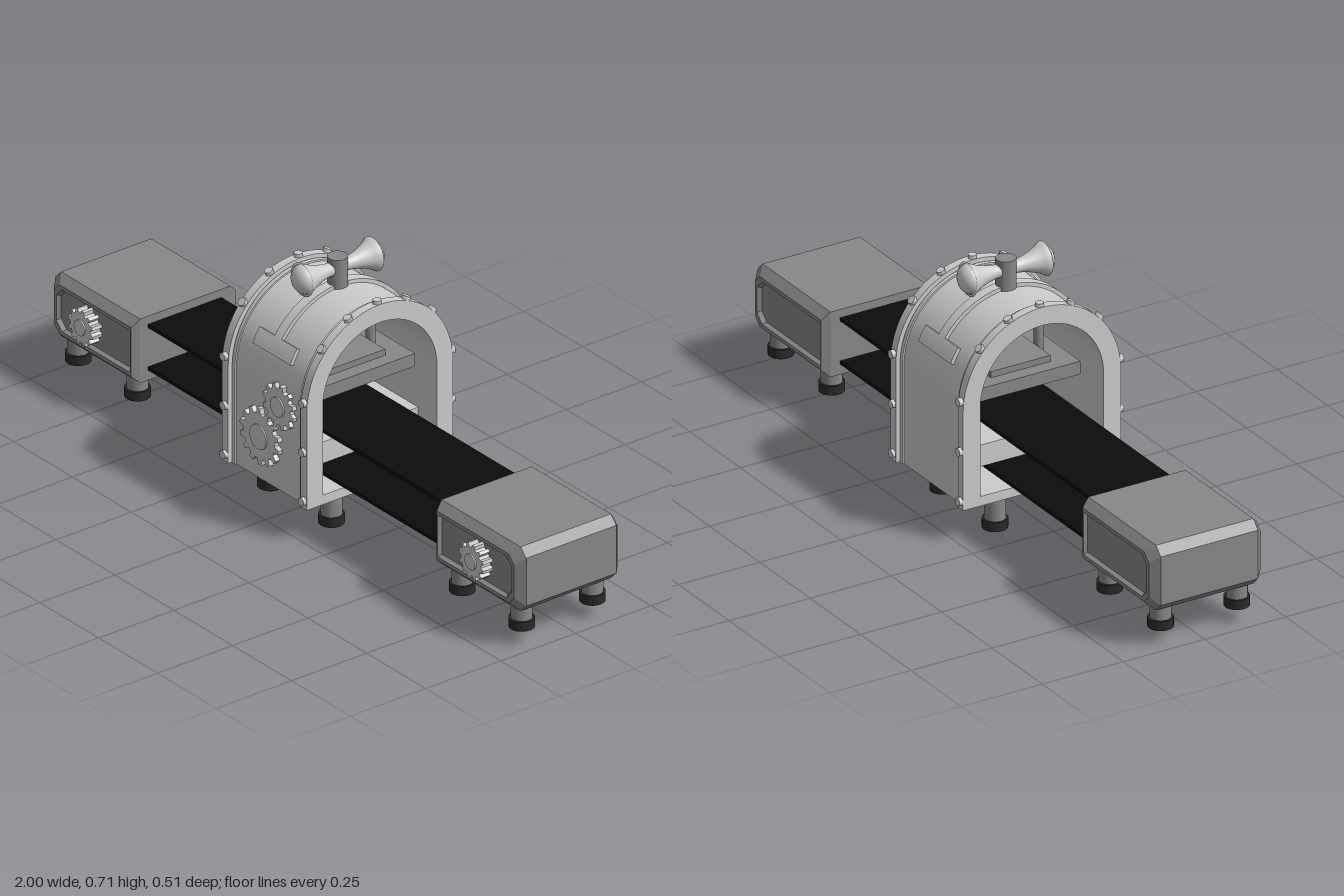
import * as THREE from 'three';
import { toCreasedNormals } from 'three/addons/utils/BufferGeometryUtils.js';

const light = new THREE.MeshStandardMaterial({ color: 0xcccccc });
const grey = new THREE.MeshStandardMaterial({ color: 0x888888 });
const black = new THREE.MeshStandardMaterial({ color: 0x0c0c0c });
const rubber = new THREE.MeshStandardMaterial({ color: 0x2a2a2a });
const CX = -0.01, SPRING = 0.385; // arch centre in x, height where its curve starts

function add(parent, name, geometry, material, x = 0, y = 0, z = 0) {
  const mesh = new THREE.Mesh(geometry, material);
  mesh.name = name;
  mesh.position.set(x, y, z);
  parent.add(mesh);
  return mesh;
}

const box = (w, h, d) => new THREE.BoxGeometry(w, h, d);
const cyl = (r, h, n = 24) => new THREE.CylinderGeometry(r, r, h, n);

function extrude(shape, depth) {
  const g = new THREE.ExtrudeGeometry(shape, { depth, bevelEnabled: false, curveSegments: 28 });
  return toCreasedNormals(g, 0.5);
}

// Outline with upright sides, round top and flat base
function archPath(Type, r, base) {
  const p = new Type();
  p.moveTo(-r, base);
  p.lineTo(r, base);
  p.lineTo(r, SPRING);
  p.absarc(0, SPRING, r, 0, Math.PI, false);
  p.closePath();
  return p;
}

function archSection(parent, name, r, x0, x1) {
  const shape = archPath(THREE.Shape, r, 0.097);
  shape.holes.push(archPath(THREE.Path, 0.19, 0.125));
  add(parent, name, extrude(shape, x1 - x0), light, x0).rotation.y = Math.PI / 2;
}

// Curved band lying on the arch between two angles
function strap(parent, name, a0, a1, width) {
  const shape = new THREE.Shape();
  shape.absarc(0, SPRING, 0.239, a0, a1, false);
  shape.absarc(0, SPRING, 0.222, a1, a0, true);
  shape.closePath();
  add(parent, name, extrude(shape, width), light, CX - width / 2).rotation.y = Math.PI / 2;
}

function gear(parent, x, y, z, r, teeth, depth) {
  const shape = new THREE.Shape();
  const step = (Math.PI * 2) / teeth;
  for (let i = 0; i < teeth; i++) {
    [[0, 0.8], [0.28, 0.8], [0.4, 1], [0.75, 1], [0.9, 0.8]].forEach(([f, k], j) => {
      const a = (i + f) * step;
      shape[i + j ? 'lineTo' : 'moveTo'](Math.cos(a) * r * k, Math.sin(a) * r * k);
    });
  }
  shape.closePath();
  const g = new THREE.Group();
  g.name = 'gear';
  g.position.set(x, y, z);
  add(g, 'gearWheel', extrude(shape, depth), light);
  add(g, 'gearHub', cyl(r * 0.43, depth + 0.004), light, 0, 0, depth / 2 + 0.002).rotation.x = Math.PI / 2;
  parent.add(g);
}

function foot(parent, x, z, bottom, top) {
  add(parent, 'leg', cyl(0.029, top - bottom), grey, x, (top + bottom) / 2 + 0.005, z);
  add(parent, 'footPad', cyl(0.035, 0.027), rubber, x, bottom + 0.0135, z);
}

// Chamfered housing with sunk side panels, lofted from six-sided rings along z
function housingGeometry() {
  const ring = (d, z) => {
    const x0 = 0.64 + d * 0.4, x1 = 1 - d, y0 = 0.11 + d, y1 = 0.3 - d, c = 0.024;
    return [[x0, y0, z], [x1 - c, y0, z], [x1, y0 + c, z], [x1, y1 - c, z], [x1 - c, y1, z], [x0, y1, z]];
  };
  const half = [[0.038, 0.161], [0.033, 0.173], [0.022, 0.173], [0, 0.15]];
  const rings = [...half.map(([d, z]) => ring(d, -z)), ...half.reverse().map(([d, z]) => ring(d, z))];
  const pos = [];
  const tri = (...pts) => pts.forEach((p) => pos.push(...p));
  for (let k = 0; k < rings.length - 1; k++) {
    const a = rings[k], b = rings[k + 1];
    for (let i = 0; i < 6; i++) {
      const j = (i + 1) % 6;
      tri(a[i], a[j], b[j]);
      tri(a[i], b[j], b[i]);
    }
  }
  const first = rings[0], last = rings[rings.length - 1];
  for (let i = 1; i < 5; i++) {
    tri(first[0], first[i + 1], first[i]);
    tri(last[0], last[i], last[i + 1]);
  }
  const g = new THREE.BufferGeometry();
  g.setAttribute('position', new THREE.Float32BufferAttribute(pos, 3));
  g.computeVertexNormals();
  return g;
}

function createArch() {
  const arch = new THREE.Group();
  arch.name = 'archHousing';
  arch.position.z = 0.002;
  archSection(arch, 'archBody', 0.228, -0.165, 0.145);
  archSection(arch, 'rightFlange', 0.243, -0.19, -0.164);
  archSection(arch, 'leftFlange', 0.243, 0.144, 0.17);
  archSection(arch, 'rightInnerRib', 0.233, -0.16, -0.148);
  archSection(arch, 'leftInnerRib', 0.233, 0.128, 0.14);

  // Hex bolts round both flanges: [angle, height of centre]
  const spots = [0.73, 1.17, Math.PI / 2, Math.PI - 1.17, Math.PI - 0.73].map((a) => [a, SPRING]);
  for (const y of [0.12, 0.265, 0.41]) spots.push([0, y], [Math.PI, y]);
  for (const x of [-0.177, 0.157]) {
    for (const [a, y] of spots) {
      const r = 0.244;
      add(arch, 'bolt', cyl(0.013, 0.018, 6), light, x, y + Math.sin(a) * r, Math.cos(a) * r).rotation.x = Math.PI / 2 - a;
    }
  }

  // T-shaped straps running from the horn post down both slopes
  strap(arch, 'frontStrapBar', 0.4, 0.6, 0.16);
  strap(arch, 'backStrapBar', Math.PI - 0.6, Math.PI - 0.4, 0.16);
  strap(arch, 'strapStem', 0.59, Math.PI - 0.59, 0.03);

  gear(arch, -0.035, 0.23, 0.226, 0.083, 14, 0.016);
  gear(arch, 0.043, 0.35, 0.226, 0.066, 12, 0.014);
  for (const x of [-0.145, 0.115]) for (const z of [0.118, -0.117]) foot(arch, x, z, 0, 0.1);
  add(arch, 'beltSupport', box(0.2, 0.063, 0.384), light, CX, 0.197, 0);
  return arch;
}

function createPress() {
  const press = new THREE.Group();
  press.name = 'press';
  press.position.set(CX, 0, -0.002);
  add(press, 'pressPlate', box(0.24, 0.038, 0.32), grey, 0, 0.386, 0);
  add(press, 'pressBacking', box(0.16, 0.02, 0.184), grey, 0, 0.413, 0);
  for (const z of [-0.105, 0.105]) add(press, 'pressRod', cyl(0.013, 0.18), grey, 0, 0.485, z);
  return press;
}

function createHorns() {
  const horns = new THREE.Group();
  horns.name = 'horns';
  horns.position.set(CX, 0, 0.002);
  add(horns, 'hornPost', cyl(0.028, 0.09), grey, 0, 0.653, 0);
  const bell = [[0.018, 0.02], [0.019, 0.04], [0.023, 0.06], [0.03, 0.083], [0.039, 0.103], [0.048, 0.117], [0.041, 0.115]];
  const bellGeo = new THREE.LatheGeometry(bell.map(([r, y]) => new THREE.Vector2(r, y)), 32);
  const bellMat = light.clone();
  bellMat.side = THREE.DoubleSide;
  for (const s of [1, -1]) {
    add(horns, 'hornBell', bellGeo, bellMat, 0, 0.665, 0).rotation.x = (s * Math.PI) / 2;
    const dome = add(horns, 'hornDome', new THREE.SphereGeometry(0.041, 28, 14), light, 0, 0.665, s * 0.112);
    dome.scale.z = 0.75;
  }
  return horns;
}

export function createModel() {
  const model = new THREE.Group();
  model.name = 'conveyorPress';
  model.add(createArch(), createPress(), createHorns());

  // Upper and lower runs of the belt
  for (const y of [0.271, 0.145]) add(model, 'belt', box(1.32, 0.01, 0.245), black, 0, y, 0.0175);

  // End housings, mirrored
  const geo = housingGeometry();
  for (const s of [1, -1]) {
    const end = new THREE.Group();
    end.name = s > 0 ? 'leftEnd' : 'rightEnd';
    add(end, 'endHousing', geo, grey, 0, 0, 0.015).scale.x = s;
    gear(end, s > 0 ? 0.82 : -0.84, 0.205, 0.174, 0.053, 12, 0.034);
    for (const x of [0.69, 0.942]) for (const z of [0.135, -0.1]) foot(end, s * x, z, 0.043, 0.11);
    model.add(end);
  }
  return model;
}
